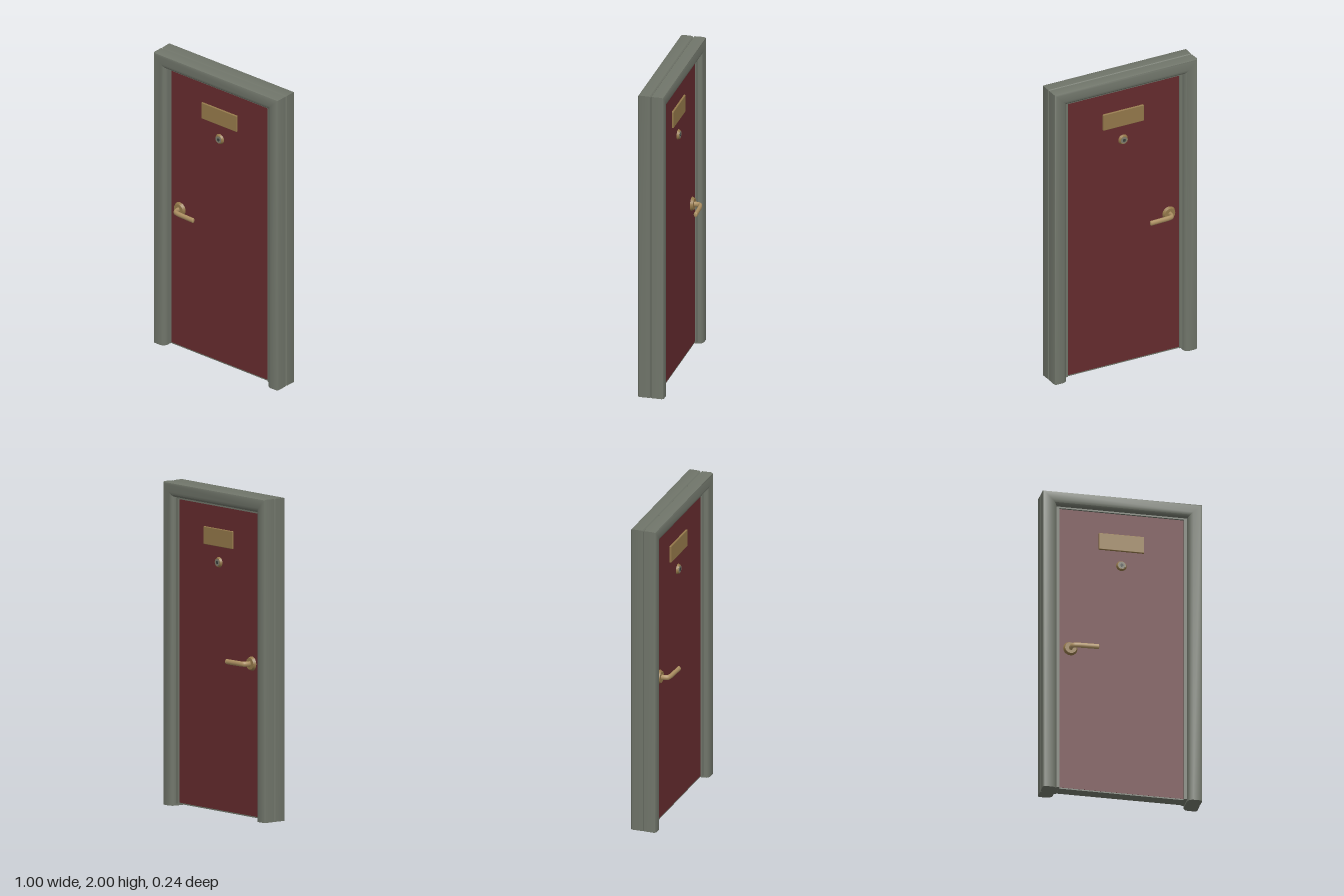
import * as THREE from 'three';
import { toCreasedNormals } from 'three/addons/utils/BufferGeometryUtils.js';
import { RoundedBoxGeometry } from 'three/addons/geometries/RoundedBoxGeometry.js';

const material = (name, color) => {
  const m = new THREE.MeshStandardMaterial({ color });
  m.name = name;
  return m;
};

function add(parent, name, geometry, mat, x = 0, y = 0, z = 0) {
  const mesh = new THREE.Mesh(geometry, mat);
  mesh.name = name;
  mesh.position.set(x, y, z);
  parent.add(mesh);
  return mesh;
}

// Casing cross-section: [inset from the outer edge, z], half of the wall depth
const PROFILE = [
  [0.008, 0], [0.001, 0.006], [0, 0.068], [0.004, 0.078], [0.014, 0.083],
  [0.058, 0.083], [0.074, 0.078], [0.085, 0.068], [0.09, 0.052], [0.09, 0]
];

// Sweeps the cross-section up one leg, across the head and down the other leg
function casingGeometry() {
  const n = PROFILE.length, pos = [], index = [];
  for (const [side, bottom] of [[-1, true], [-1, false], [1, false], [1, true]]) {
    for (const [w, z] of PROFILE) pos.push(side * (0.5 - w), bottom ? 0 : 2 - w, z);
  }
  for (let j = 0; j < 3; j++) {
    for (let i = 0; i < n; i++) {
      const k = (i + 1) % n, a = j * n + i, b = j * n + k;
      index.push(a, b, b + n, a, b + n, a + n);
    }
  }
  for (let i = 1; i < n - 1; i++) {
    index.push(0, i + 1, i, 3 * n, 3 * n + i, 3 * n + i + 1);
  }
  const g = new THREE.BufferGeometry();
  g.setAttribute('position', new THREE.Float32BufferAttribute(pos, 3));
  g.setIndex(index);
  return toCreasedNormals(g, 0.7);
}

// Disc facing +z
const disc = (rTop, rBottom, depth) =>
  new THREE.CylinderGeometry(rTop, rBottom, depth, 24).rotateX(Math.PI / 2);

export function createModel() {
  const frameGrey = material('frame grey', 0x70756a);
  const doorRed = material('door red', 0x652b2e);
  const brass = material('brass', 0x94784a);
  const leverBrass = material('light brass', 0xad9062);
  const steel = material('peephole steel', 0x7d7a6c);
  const dark = material('lens dark', 0x3a3f3c);

  const model = new THREE.Group();
  model.name = 'door';

  // Jambs, head and sill inside the casing
  for (const s of [-1, 1]) {
    add(model, s < 0 ? 'rightJamb' : 'leftJamb', new THREE.BoxGeometry(0.03, 1.9, 0.1), frameGrey, s * 0.405, 0.965, 0);
  }
  add(model, 'headJamb', new THREE.BoxGeometry(0.84, 0.025, 0.1), frameGrey, 0, 1.9125, 0);
  add(model, 'sill', new THREE.BoxGeometry(0.78, 0.008, 0.074), frameGrey, 0, 0.016, 0);

  // Door leaf
  add(model, 'doorLeaf', new THREE.BoxGeometry(0.78, 1.88, 0.076), doorRed, 0, 0.96, 0);

  // Casing and fittings, repeated on both faces; s keeps the handle on one edge
  for (const s of [1, -1]) {
    const face = new THREE.Group();
    face.name = s > 0 ? 'frontFace' : 'backFace';
    if (s < 0) face.rotation.y = Math.PI;
    model.add(face);

    add(face, 'casing', casingGeometry(), frameGrey);

    // Name plate and peephole
    add(face, 'namePlate', new RoundedBoxGeometry(0.284, 0.11, 0.016, 2, 0.004), brass, 0, 1.705, 0.041);
    add(face, 'peepholeRim', disc(0.026, 0.034, 0.016), brass, 0, 1.553, 0.044);
    add(face, 'peepholeRing', disc(0.022, 0.022, 0.006), steel, 0, 1.553, 0.051);
    add(face, 'peepholeLens', disc(0.01, 0.01, 0.004), dark, 0, 1.553, 0.0535);

    // Lever handle
    const handle = new THREE.Group();
    handle.name = 'handle';
    handle.position.set(-0.32 * s, 0.963, 0);
    face.add(handle);
    add(handle, 'rosette', disc(0.036, 0.045, 0.018), brass, 0, 0, 0.046);
    const path = new THREE.CatmullRomCurve3([
      [0, 0.04], [0.001, 0.075], [0.008, 0.092], [0.028, 0.099], [0.09, 0.103], [0.162, 0.106]
    ].map(([x, z]) => new THREE.Vector3(x * s, 0, z)));
    const lever = new THREE.TubeGeometry(path, 36, 0.012, 12).scale(1, 1.35, 1);
    add(handle, 'lever', lever, leverBrass);
    add(handle, 'leverTip', new THREE.SphereGeometry(0.012, 12, 8).scale(0.4, 1.35, 1), leverBrass, 0.162 * s, 0, 0.106);
  }
  return model;
}
